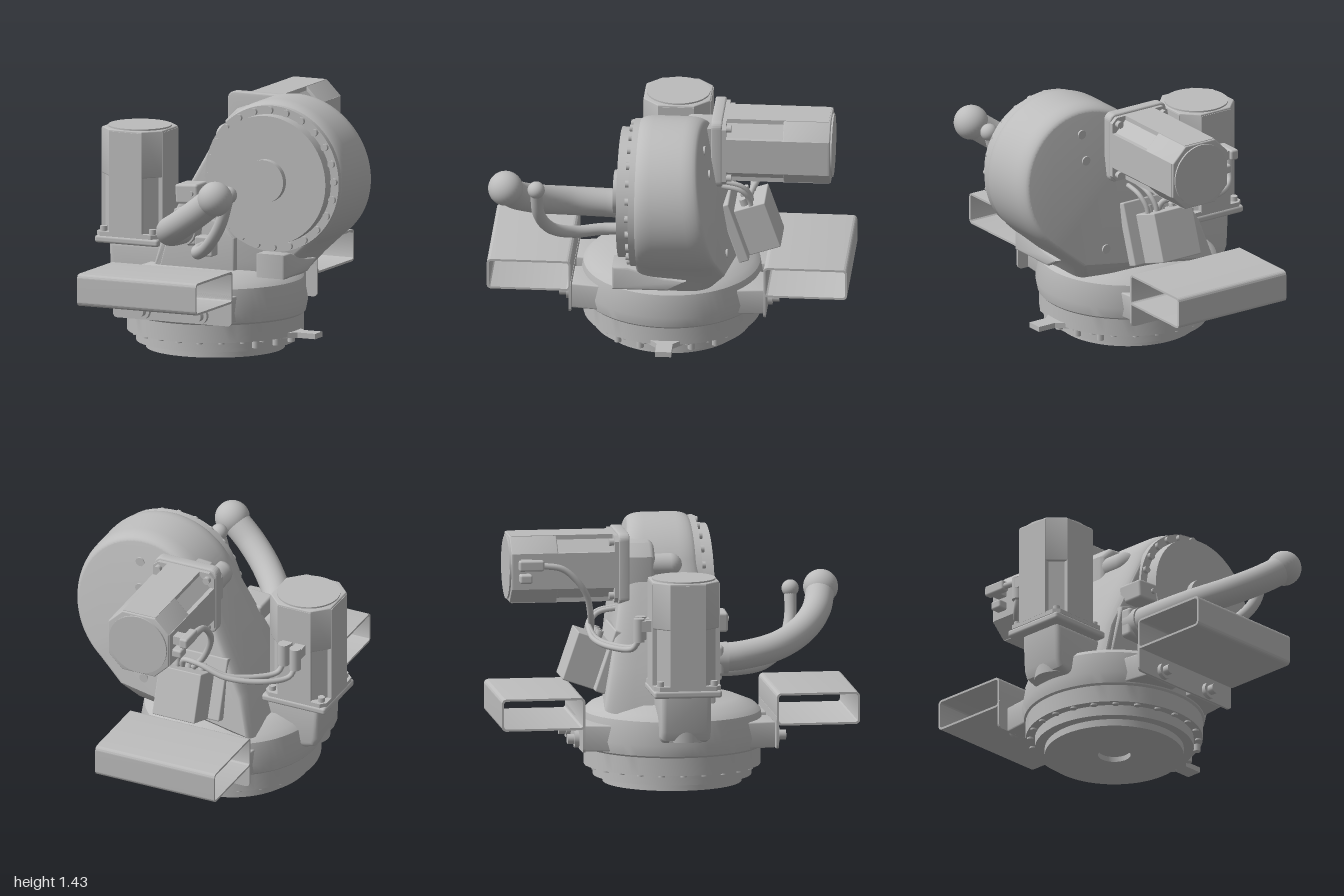
import * as THREE from 'three';
import { toCreasedNormals } from 'three/addons/utils/BufferGeometryUtils.js';
import { RoundedBoxGeometry } from 'three/addons/geometries/RoundedBoxGeometry.js';

const V = (x, y, z) => new THREE.Vector3(x, y, z);
const CX = -0.105; // x of the turntable axis
const HUB = [0.33, 1.0]; // x, y of the arm axis
// z of the sloping rear face of the arm housing
const rearFace = (x, y) => -0.265 - (1 - y) * 0.17 + 0.08 * (x - HUB[0]);

export function createModel() {
  const root = new THREE.Group();
  const grey = new THREE.MeshStandardMaterial({ color: 0xbcbcbc });
  grey.name = 'castGrey';

  const add = (name, geo, x = 0, y = 0, z = 0, parent = root) => {
    const m = new THREE.Mesh(geo, grey);
    m.name = name;
    m.position.set(x, y, z);
    parent.add(m);
    return m;
  };
  const box = (name, x0, x1, y0, y1, z0, z1, r = 0, parent = root) => {
    const [w, h, d] = [x1 - x0, y1 - y0, z1 - z0];
    const g = r ? new RoundedBoxGeometry(w, h, d, 2, r) : new THREE.BoxGeometry(w, h, d);
    return add(name, g, (x0 + x1) / 2, (y0 + y1) / 2, (z0 + z1) / 2, parent);
  };
  const cylZ = (name, r, x, y, z0, z1, seg = 64, parent = root) => {
    const m = add(name, new THREE.CylinderGeometry(r, r, z1 - z0, seg), x, y, (z0 + z1) / 2, parent);
    m.rotation.x = Math.PI / 2;
    return m;
  };
  const cylY = (name, r, x, y0, y1, z, seg = 24, parent = root) =>
    add(name, new THREE.CylinderGeometry(r, r, y1 - y0, seg), x, (y0 + y1) / 2, z, parent);
  const tube = (name, r, pts, seg = 40, sides = 16) =>
    add(name, new THREE.TubeGeometry(new THREE.CatmullRomCurve3(pts.map(p => V(...p))), seg, r, sides));
  const polygon = pts => new THREE.Shape(pts.map(p => new THREE.Vector2(...p)));
  const plate = (shape, depth, bevel = 0) => toCreasedNormals(new THREE.ExtrudeGeometry(shape, {
    depth, curveSegments: 24, bevelEnabled: bevel > 0, bevelSize: bevel, bevelThickness: bevel,
    bevelOffset: -bevel, bevelSegments: 3 }), 0.6);
  const roundRect = (x0, y0, x1, y1, r, target = new THREE.Shape()) => {
    target.absarc(x1 - r, y0 + r, r, -Math.PI / 2, 0);
    target.absarc(x1 - r, y1 - r, r, 0, Math.PI / 2);
    target.absarc(x0 + r, y1 - r, r, Math.PI / 2, Math.PI);
    target.absarc(x0 + r, y0 + r, r, Math.PI, Math.PI * 1.5);
    target.closePath();
    return target;
  };

  // Turntable: stepped foot, bearing ring and the cast body above it
  const profile = [[0, 0.03], [0.09, 0.03], [0.09, 0], [0.385, 0], [0.385, 0.04], [0.44, 0.04], [0.44, 0.1],
    [0.49, 0.1], [0.49, 0.2], [0.5, 0.21], [0.512, 0.27], [0.49, 0.4], [0.46, 0.43], [0.36, 0.47], [0, 0.47]];
  add('turntableBase', toCreasedNormals(
    new THREE.LatheGeometry(profile.map(p => new THREE.Vector2(...p)), 72), 0.5), CX);
  for (let i = 0; i < 24; i++) {
    const a = i / 24 * Math.PI * 2;
    cylY('baseBolt', 0.018, CX + 0.465 * Math.cos(a), 0.09, 0.125, 0.465 * Math.sin(a), 12);
  }
  for (const a of [-0.62, -0.31, 0, 0.31, 0.62])
    cylY('tabBolt', 0.02, CX + 0.465 * Math.cos(a), 0.06, 0.1, 0.465 * Math.sin(a), 12);
  add('stopTab', plate(polygon([[0.28, -0.17], [0.42, -0.045], [0.53, -0.045], [0.53, 0.045], [0.42, 0.045],
    [0.28, 0.17]]), 0.03), 0, 0.092).rotation.x = -Math.PI / 2;

  // Arm housing: round drum flowing into a sloping neck, deeper towards its foot
  const s = new THREE.Shape();
  s.moveTo(-0.42, 0.42);
  s.lineTo(0.36, 0.42);
  s.lineTo(0.44, 0.53);
  s.absarc(HUB[0], HUB[1], 0.43, -0.96, 2.6);
  s.lineTo(-0.35, 0.67);
  s.closePath();
  const housing = new THREE.ExtrudeGeometry(s, {
    depth: 0.2, curveSegments: 64, bevelSize: 0.035, bevelThickness: 0.1, bevelOffset: -0.035, bevelSegments: 6 });
  const p = housing.attributes.position;
  for (let i = 0; i < p.count; i++) {
    const [x, y] = [p.getX(i), p.getY(i)];
    const front = 0.155 + Math.max(0, -x - 0.05) * 0.15;
    // the foot stays on the round body
    const limit = y < 0.5 ? Math.sqrt(Math.max(0.04, 0.27 - (x - CX) ** 2)) : 1;
    const back = Math.max(rearFace(x, y), -limit);
    p.setZ(i, back + (p.getZ(i) + 0.1) / 0.4 * (front - back));
  }
  add('armHousing', toCreasedNormals(housing, 0.6));
  for (const [x, y] of [[0.36, 1.28], [0.35, 1.13], [0.28, 0.62]])
    cylZ('housingPlug', 0.026, x, y, rearFace(x, y) - 0.006, -0.1, 18);

  // Drive face on the drum
  cylZ('driveRing', 0.41, ...HUB, 0.1, 0.18, 96);
  cylZ('drivePlate', 0.362, ...HUB, 0.15, 0.25, 96);
  cylZ('driveHub', 0.12, ...HUB, 0.24, 0.287, 48);
  for (let i = 0; i < 24; i++) {
    const a = (i + 0.1) / 24 * Math.PI * 2;
    cylZ('driveBolt', 0.02, HUB[0] + 0.385 * Math.cos(a), HUB[1] + 0.385 * Math.sin(a), 0.16, 0.2, 14);
  }

  // Stop block, sensor and cable entry on the front
  add('stopBlock', plate(polygon([[-0.29, 0.46], [0.02, 0.46], [0.12, 0.52], [0, 0.535], [-0.2, 0.595],
    [-0.29, 0.595]]), 0.15, 0.012), 0.295).rotation.y = Math.PI / 2;
  box('sensorBox', -0.21, -0.07, 0.84, 0.95, 0.14, 0.3, 0.015).rotation.z = 0.06;
  cylZ('sensorButton', 0.015, -0.11, 0.9, 0.29, 0.315, 14);
  add('cableEntryPlate', plate(polygon(
    [[-0.36, 0.42], [0.11, 0.42], [0.11, 0.65], [0.03, 0.73], [-0.2, 0.81], [-0.26, 0.79]]), 0.08, 0.01), 0, 0, 0.12);
  box('cableBlock', -0.26, -0.09, 0.6, 0.77, 0.15, 0.27, 0.02);
  cylZ('cableCollar', 0.088, -0.175, 0.69, 0.2, 0.3, 32);
  box('cableClamp', -0.1, 0.01, 0.55, 0.66, 0.15, 0.28, 0.01);

  // Two hoses ending in balls
  tube('largeHose', 0.08, [[-0.175, 0.69, 0.22], [-0.165, 0.7, 0.38], [-0.1, 0.735, 0.58],
    [0.03, 0.8, 0.74], [0.18, 0.89, 0.845], [0.325, 0.995, 0.89]], 48, 28);
  add('largeHoseEnd', new THREE.SphereGeometry(0.097, 32, 24), 0.325, 0.995, 0.89);
  tube('smallHose', 0.034, [[-0.05, 0.6, 0.22], [-0.03, 0.6, 0.38], [0.05, 0.615, 0.53],
    [0.17, 0.69, 0.65], [0.27, 0.82, 0.71], [0.325, 0.99, 0.72]], 48, 20);
  add('smallHoseEnd', new THREE.SphereGeometry(0.048, 24, 18), 0.325, 0.99, 0.72);

  // Motor standing on its flange along +y, with an eight-sided body
  const octagon = (h, c) => polygon([[h - c, -h], [h, c - h], [h, h - c], [h - c, h],
    [c - h, h], [-h, h - c], [-h, c - h], [c - h, -h]]);
  const motor = (name, x, y, z) => {
    const g = new THREE.Group();
    g.name = name;
    g.position.set(x, y, z);
    root.add(g);
    add('motorLower', plate(octagon(0.174, 0.085), 0.36), 0, 0, 0, g).rotation.x = -Math.PI / 2;
    add('motorUpper', plate(octagon(0.185, 0.085), 0.25, 0.006), 0, 0.345, 0, g).rotation.x = -Math.PI / 2;
    box('motorRib', -0.1, 0.1, 0.02, 0.59, -0.188, 0.188, 0, g);
    box('motorRib', -0.188, 0.188, 0.02, 0.59, -0.1, 0.1, 0, g);
    cylY('motorCap', 0.176, 0, 0.57, 0.61, 0, 48, g);
    add('motorFoot', plate(octagon(0.187, 0.03), 0.025), 0, 0, 0, g).rotation.x = -Math.PI / 2;
    for (const sx of [-1, 1]) for (const sz of [-1, 1])
      cylY('motorBolt', 0.02, sx * 0.15, 0.02, 0.052, sz * 0.15, 12, g);
    return g;
  };
  motor('turnMotor', -0.57, 0.6, 0);
  motor('armMotor', 0.043, 1.19, -0.3).rotation.x = -Math.PI / 2;

  // Turn motor bracket
  box('turnMotorFlange', -0.76, -0.37, 0.56, 0.602, -0.19, 0.19, 0.015);
  add('turnMotorBracket', plate(polygon([[-0.7, 0.57], [-0.69, 0.36], [-0.67, 0.31], [-0.61, 0.29],
    [-0.4, 0.29], [-0.3, 0.57]]), 0.22, 0.03), 0, 0, -0.11);
  cylY('turnGearCase', 0.12, -0.57, 0.3, 0.57, 0, 40);
  cylZ('bracketBolt', 0.018, -0.6, 0.48, 0.08, 0.13, 14);

  // Arm motor flange and gear boss
  add('armMotorFlange', plate(roundRect(-0.15, 0.99, 0.23, 1.39, 0.04), 0.045, 0.008), 0, 0, -0.295);
  add('armGearCase', plate(polygon([[-0.1, 1.02], [0.2, 1.0], [0.2, 1.34], [-0.03, 1.32], [-0.1, 1.25]]), 0.14, 0.03),
    0, 0, -0.26);
  cylZ('housingBoss', 0.068, -0.027, 1.19, -0.26, 0, 28);
  add('housingBossEnd', new THREE.SphereGeometry(0.068, 28, 16), -0.027, 1.19, 0);

  // Junction box and its backing panel behind the neck
  const rear = new THREE.Group();
  rear.name = 'junctionBox';
  rear.position.set(-0.035, 0.685, -0.48);
  rear.rotation.x = 0.33;
  root.add(rear);
  box('junctionCase', -0.13, 0.13, -0.14, 0.14, -0.1, 0.1, 0.006, rear);
  box('junctionPanel', -0.2, 0.2, -0.14, 0.22, 0.08, 0.14, 0.008, rear);
  for (const x of [-0.08, 0, 0.08]) cylY('cableGland', 0.022, x, 0.13, 0.18, 0.02, 12, rear);

  // Motor connectors and cables
  box('armConnector', -0.24, -0.19, 1.205, 1.265, -0.87, -0.73, 0.012);
  box('armConnectorStem', -0.2, -0.13, 1.21, 1.26, -0.85, -0.79);
  box('armConnector', -0.2, -0.13, 1.13, 1.18, -0.86, -0.79, 0.012);
  tube('armMotorCable', 0.018, [[-0.215, 1.235, -0.75], [-0.22, 1.21, -0.62], [-0.21, 1.08, -0.5],
    [-0.15, 0.93, -0.46], [-0.08, 0.84, -0.45]], 32, 10);
  for (const [x, z] of [[-0.61, -0.255], [-0.53, -0.235]]) {
    cylY('turnConnector', 0.032, x, 0.86, 0.99, z, 16);
    box('turnConnectorBase', x - 0.03, x + 0.03, 0.92, 0.98, z, -0.16);
    tube('turnMotorCable', 0.016, [[x, 0.88, z], [x + 0.02, 0.82, z - 0.03], [x + 0.13, 0.81, z - 0.13],
      [-0.28, 0.83, z - 0.21], [-0.12, 0.88, -0.47], [-0.02, 0.87, -0.45], [0, 0.8, -0.43]], 40, 10);
  }
  for (const x of [0.04, 0.1])
    tube('loopCable', 0.014, [[x, 0.95, -0.26], [x, 0.92, -0.4], [x - 0.02, 0.84, -0.45], [x - 0.02, 0.75, -0.44]], 24, 8);

  // Fork pockets with mounting plates, front and rear
  const sleeve = roundRect(-1, 0.35, -0.535, 0.53, 0.025);
  sleeve.holes.push(roundRect(-0.988, 0.362, -0.547, 0.518, 0.014, new THREE.Path()));
  for (const side of [1, -1]) {
    const pocket = new THREE.Group();
    pocket.name = side > 0 ? 'frontForkPocket' : 'rearForkPocket';
    pocket.position.x = CX;
    if (side < 0) pocket.rotation.y = Math.PI;
    root.add(pocket);
    add('pocketSleeve', plate(sleeve, 0.73), -0.365, 0, 0, pocket).rotation.y = Math.PI / 2;
    add('pocketPlate', plate(roundRect(-0.365, 0.22, 0.365, 0.4, 0.025), 0.014), 0, 0, 0.533, pocket);
    for (const x of [-0.177, 0.177]) {
      add('pocketLug', plate(polygon([[x - 0.12, -0.534], [x + 0.12, -0.534], [x + 0.15, -0.3], [x - 0.15, -0.3]]),
        0.13, 0.008), 0, 0.225, 0, pocket).rotation.x = -Math.PI / 2;
      cylZ('pocketWasher', 0.046, x, 0.27, 0.54, 0.572, 28, pocket);
      cylZ('pocketBolt', 0.028, x, 0.27, 0.57, 0.61, 20, pocket);
    }
  }
  return root;
}
